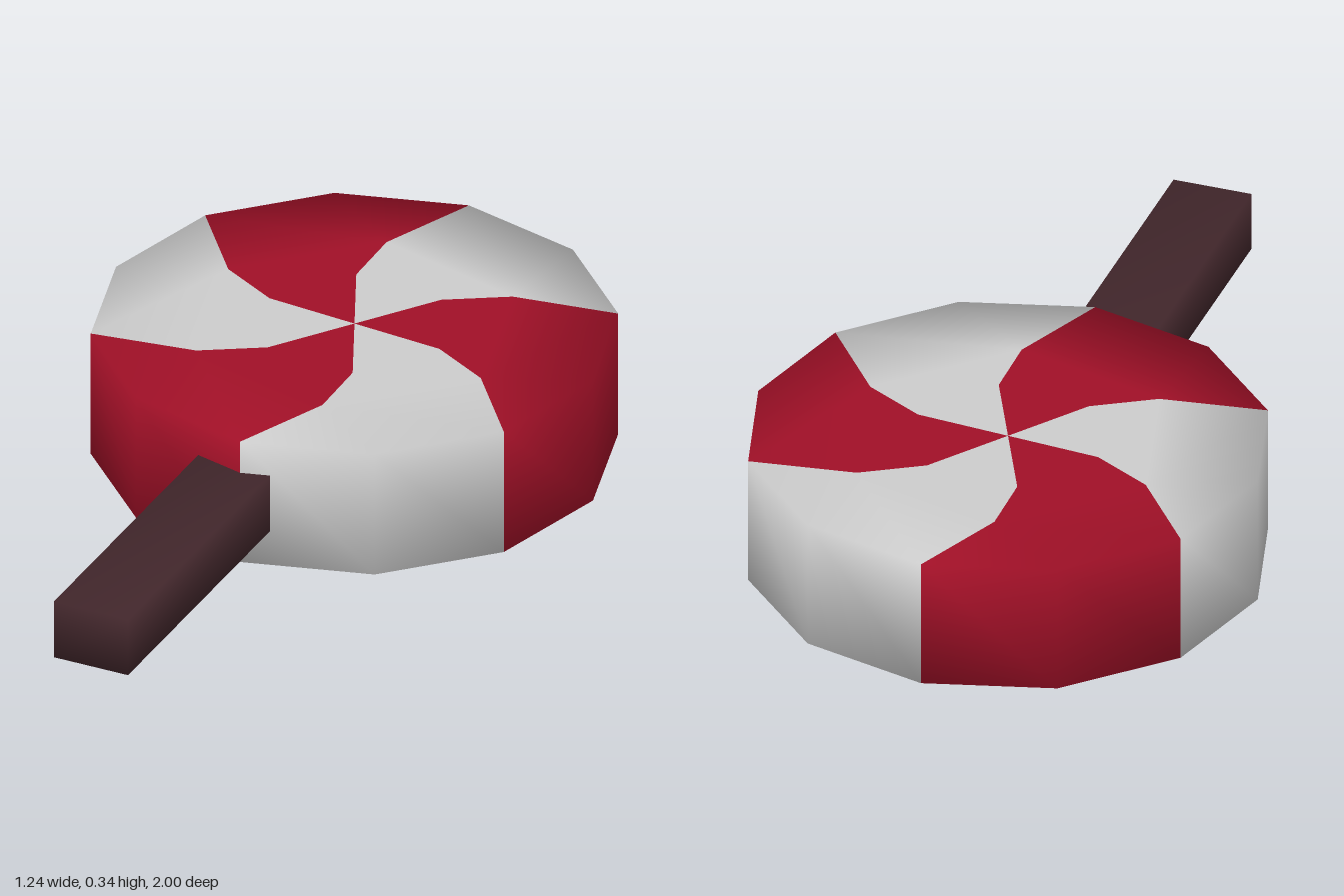
import * as THREE from 'three';
import { mergeVertices } from 'three/addons/utils/BufferGeometryUtils.js';

const HEIGHT = 0.335;
const STRIPES = 6;

// Polar point on the candy disc, angle in degrees counter-clockwise seen from above
function polar(radius, degrees, y) {
  const a = THREE.MathUtils.degToRad(degrees);
  return [radius * Math.cos(a), y, -radius * Math.sin(a)];
}

// Swirled disc: per stripe a rim corner, a rim midpoint and two inner swirl points
function swirlDisc() {
  const positions = [];
  const stripes = [[], []];
  for (const y of [HEIGHT, 0]) {
    positions.push(...polar(0, 0, y));
    for (let k = 0; k < STRIPES; k++) {
      const a = k * 60;
      positions.push(
        ...polar(0.24, a + 41, y),
        ...polar(0.405, a + 31, y),
        ...polar(0.64, a + 16.4, y),
        ...polar(0.64, a + 46.4, y)
      );
    }
  }
  const layer = 1 + STRIPES * 4;
  for (let k = 0; k < STRIPES; k++) {
    const index = stripes[k % 2];
    const [i1, i2, rim, mid] = [1, 2, 3, 4].map((n) => k * 4 + n);
    const [j1, j2, nextRim] = [1, 2, 3].map((n) => ((k + 1) % STRIPES) * 4 + n);
    const face = [
      [0, i1, j1],
      [i1, i2, j2], [i1, j2, j1],
      [i2, rim, mid], [i2, mid, nextRim], [i2, nextRim, j2],
    ];
    // Top and mirrored bottom
    for (const [a, b, c] of face) {
      index.push(a, b, c, layer + a, layer + c, layer + b);
    }
    // Side wall
    for (const [a, b] of [[rim, mid], [mid, nextRim]]) {
      index.push(a, layer + a, layer + b, a, layer + b, b);
    }
  }
  // Normals are shared by both colours so shading runs smoothly across them
  const whole = new THREE.BufferGeometry();
  whole.setAttribute('position', new THREE.Float32BufferAttribute(positions, 3));
  whole.setIndex([...stripes[0], ...stripes[1]]);
  whole.computeVertexNormals();
  return stripes.map((index) => {
    const g = new THREE.BufferGeometry();
    g.setAttribute('position', whole.attributes.position);
    g.setAttribute('normal', whole.attributes.normal);
    g.setIndex(index);
    return g;
  });
}

// Box with smooth normals across its edges
function smoothBox(w, h, d) {
  const box = new THREE.BoxGeometry(w, h, d);
  box.deleteAttribute('normal');
  box.deleteAttribute('uv');
  const g = mergeVertices(box);
  g.computeVertexNormals();
  return g;
}

function addMesh(parent, name, geometry, color) {
  const mesh = new THREE.Mesh(geometry, new THREE.MeshStandardMaterial({ color }));
  mesh.name = name;
  parent.add(mesh);
  return mesh;
}

export function createModel() {
  const model = new THREE.Group();
  model.name = 'lollipop';

  // Candy
  const candy = new THREE.Group();
  candy.name = 'candy';
  candy.position.z = -0.38;
  const [pale, red] = swirlDisc();
  addMesh(candy, 'paleStripes', pale, 0xcccccc);
  addMesh(candy, 'redStripes', red, 0xa01027);
  model.add(candy);

  // Stick, running from inside the candy to its free end
  const length = 0.95;
  const angle = THREE.MathUtils.degToRad(-14);
  const stick = addMesh(model, 'stick', smoothBox(0.2, 0.155, length), 0x44282d);
  stick.rotation.y = angle;
  stick.position.set(
    -0.363 - Math.sin(angle) * length / 2,
    0.171,
    0.975 - Math.cos(angle) * length / 2
  );
  return model;
}
